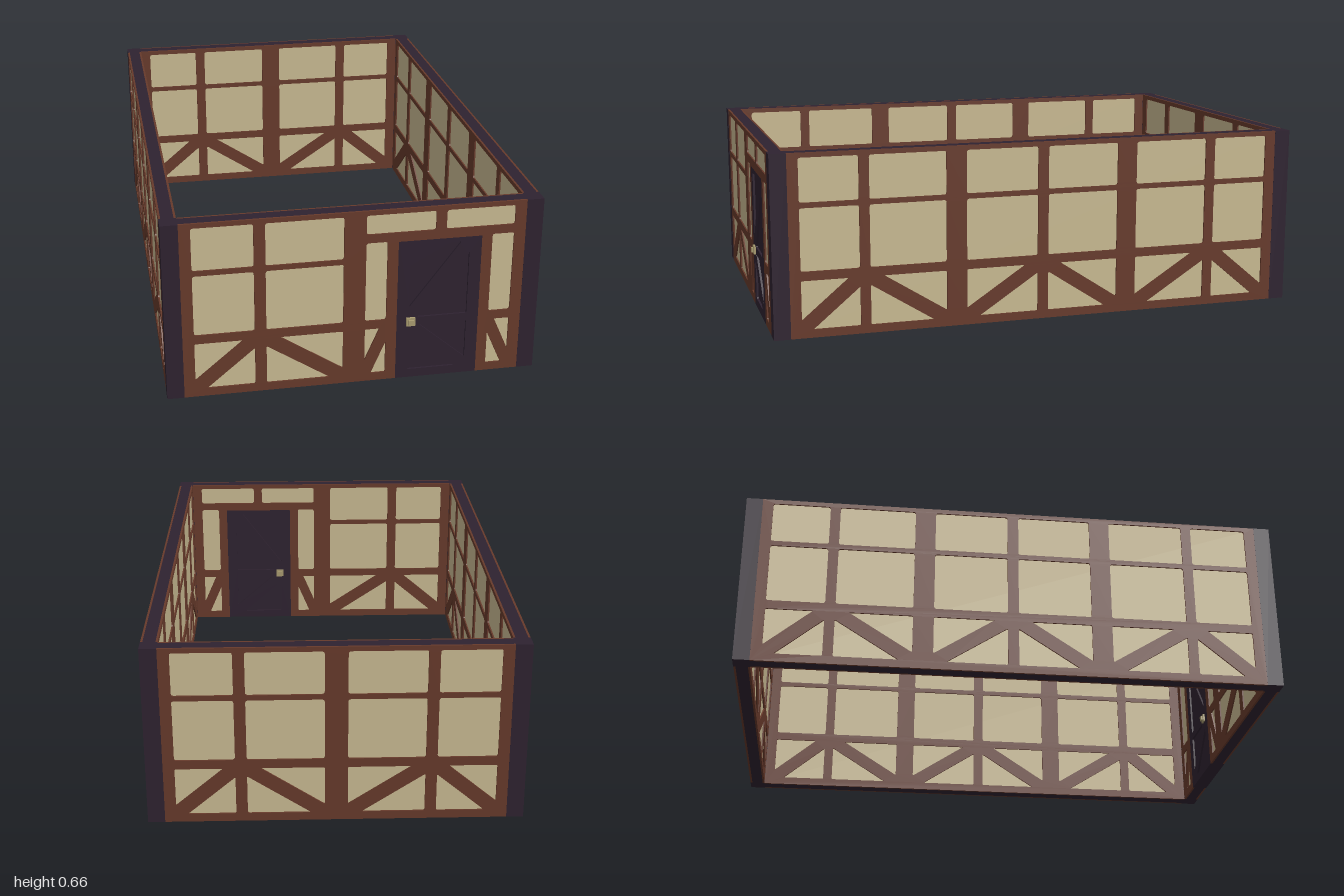
import * as THREE from 'three';

const timber = new THREE.MeshStandardMaterial({ color: 0x673a2b });
timber.name = 'brown timber';
const plaster = new THREE.MeshStandardMaterial({ color: 0xc9ba92 });
plaster.name = 'cream plaster';
const dark = new THREE.MeshStandardMaterial({ color: 0x2e2230 });
dark.name = 'dark wood';
const brass = new THREE.MeshStandardMaterial({ color: 0xa99c70 });
brass.name = 'dull brass';

const H = 0.66;          // wall height
const T = 0.06;          // post size
const CORE = 0.022;      // half thickness of the wall core
const RELIEF = 0.0075;   // depth of the timber frame over the core
const ROWS = [[0.485, 0.643], [0.24, 0.466]];
const LOW = [0.03, 0.207];

function mesh(name, geometry, material, parent, x = 0, y = 0, z = 0) {
  const m = new THREE.Mesh(geometry, material);
  m.name = name;
  m.position.set(x, y, z);
  parent.add(m);
  return m;
}

// Opening outline with softened corners
function opening(points, r = 0.009) {
  const p = points.map(([x, y]) => new THREE.Vector2(x, y));
  const path = new THREE.Path();
  p.forEach((c, i) => {
    const before = p[(i + p.length - 1) % p.length], after = p[(i + 1) % p.length];
    const a = c.clone().add(before.clone().sub(c).setLength(r));
    const b = c.clone().add(after.clone().sub(c).setLength(r));
    if (i === 0) path.moveTo(a.x, a.y); else path.lineTo(a.x, a.y);
    path.quadraticCurveTo(c.x, c.y, b.x, b.y);
  });
  path.closePath();
  return path;
}

const rect = (x0, x1, y0, y1) => opening([[x0, y0], [x1, y0], [x1, y1], [x0, y1]]);

// Two triangular openings that leave a diagonal brace between them
function braced(x0, x1, y0, y1, rising, t = 0.026, r = 0.006) {
  const w = x1 - x0, h = y1 - y0, len = Math.hypot(w, h);
  const d = t * len / h, e = t * len / w;
  const flip = ([x, y]) => [rising ? x : x0 + x1 - x, y];
  return [
    opening([[x0, y1], [x1 - d, y1], [x0, y0 + e]].map(flip), r),
    opening([[x1, y0], [x1, y1 - e], [x0 + d, y0]].map(flip), r),
  ];
}

// A full-height bay: two tall openings over a braced one
function bay(x0, x1, rising) {
  return [...ROWS.map(([a, b]) => rect(x0, x1, a, b)), ...braced(x0, x1, ...LOW, rising)];
}

function outline(points, holes) {
  const s = new THREE.Shape(points.map(([x, y]) => new THREE.Vector2(x, y)));
  s.holes.push(...holes);
  return s;
}

// The same relief on the outer and inner faces of a wall
function relief(name, shape, material, parent) {
  const g = new THREE.ExtrudeGeometry(shape, { depth: RELIEF, bevelEnabled: false, curveSegments: 3 });
  mesh(name + 'Outer', g, material, parent, 0, 0, CORE);
  mesh(name + 'Inner', g, material, parent, 0, 0, -CORE - RELIEF);
}

// Wall along local x, with its outside facing local +z
function buildWall(name, half, contour, holes, panels) {
  const wall = new THREE.Group();
  wall.name = name;
  mesh('wallCore', new THREE.BoxGeometry(half * 2, H, CORE * 2), dark, wall, 0, H / 2);
  for (const [x0, x1, y0, y1] of panels)
    for (const s of [1, -1])
      mesh('plasterPanel', new THREE.BoxGeometry(x1 - x0, y1 - y0, 0.002), plaster, wall,
        (x0 + x1) / 2, (y0 + y1) / 2, s * (CORE + 0.001));
  relief('timberFrame', outline(contour, holes), timber, wall);
  return wall;
}

function plainWall(name, half, columns) {
  const holes = [];
  for (const [a, b, risesOutward] of columns)
    holes.push(...bay(a, b, risesOutward), ...bay(-b, -a, !risesOutward));
  const contour = [[-half, 0], [half, 0], [half, H], [-half, H]];
  return buildWall(name, half, contour, holes, [[-half + 0.02, half - 0.02, 0.01, 0.65]]);
}

function frontWall() {
  const D0 = 0.15, D1 = 0.445, DH = 0.537;
  const contour = [[-0.6, 0], [D0, 0], [D0, DH], [D1, DH], [D1, 0], [0.6, 0], [0.6, H], [-0.6, H]];
  const holes = [
    ...bay(-0.56, -0.35, true), ...bay(-0.31, -0.04, false),
    // lights above the door
    rect(0.037, 0.28, 0.572, 0.643), rect(0.317, 0.56, 0.572, 0.643),
    // narrow panels beside the door
    rect(0.037, 0.112, 0.24, 0.54), ...braced(0.037, 0.112, ...LOW, true, 0.021, 0.004),
    rect(0.482, 0.56, 0.24, 0.54), ...braced(0.482, 0.56, ...LOW, false, 0.021, 0.004),
  ];
  const wall = buildWall('frontWall', 0.6, contour, holes, [
    [-0.58, 0.14, 0.01, 0.65], [0.14, 0.46, 0.55, 0.65], [0.46, 0.58, 0.01, 0.65],
  ]);

  // Door with diagonal braces
  const door = new THREE.Group();
  door.name = 'door';
  wall.add(door);
  relief('doorFrame', outline([[D0, 0], [D1, 0], [D1, DH], [D0, DH]], [
    ...braced(0.193, 0.402, 0.24, 0.52, true, 0.024),
    ...braced(0.193, 0.402, 0.032, 0.212, false, 0.024),
  ]), dark, door);

  // Handles on both faces
  for (const s of [1, -1]) {
    mesh('handlePlate', new THREE.BoxGeometry(0.032, 0.032, 0.008), brass, door, 0.2, 0.225, s * 0.033);
    mesh('handleKnob', new THREE.BoxGeometry(0.018, 0.018, 0.01), brass, door, 0.2, 0.225, s * 0.04);
  }
  return wall;
}

export function createModel() {
  const model = new THREE.Group();
  model.name = 'timberFramedWalls';
  const X = 0.63, Z = 0.9625, ZC = -0.0075;

  const place = (wall, x, z, turn) => {
    wall.position.set(x, 0, z + ZC);
    wall.rotation.y = turn;
    model.add(wall);
  };
  const sideColumns = [[0.02, 0.29, false], [0.365, 0.645, true], [0.682, 0.893, false]];
  const backColumns = [[0.04, 0.31, true], [0.35, 0.56, false]];
  place(frontWall(), 0, Z, 0);
  place(plainWall('backWall', 0.6, backColumns), 0, -Z, Math.PI);
  place(plainWall('leftWall', 0.9325, sideColumns), X, 0, Math.PI / 2);
  place(plainWall('rightWall', 0.9325, sideColumns), -X, 0, -Math.PI / 2);

  // Corner posts
  for (const sx of [1, -1])
    for (const sz of [1, -1])
      mesh('cornerPost', new THREE.BoxGeometry(T, H, T), dark, model, sx * X, H / 2, sz * Z + ZC);
  return model;
}
